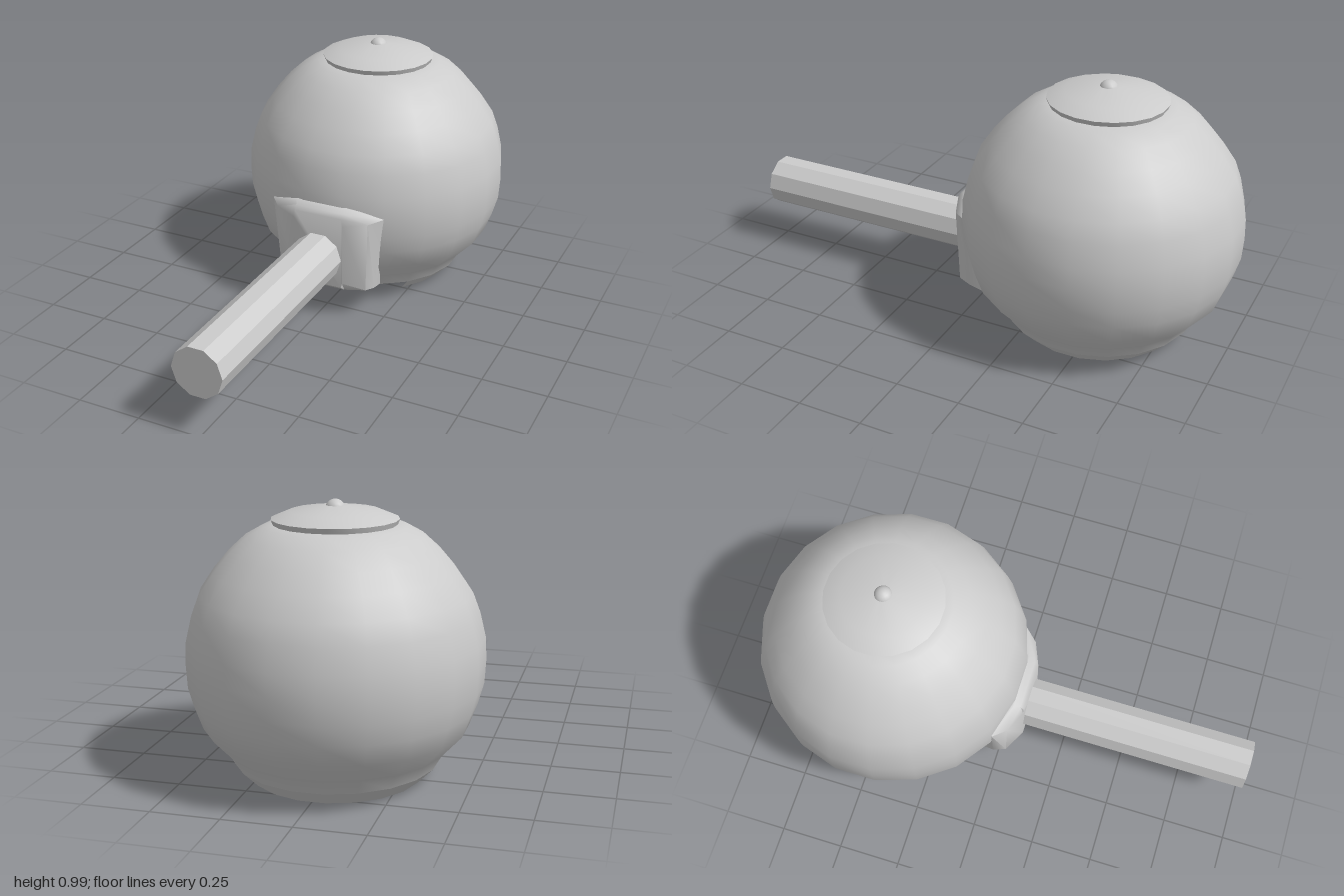
import * as THREE from 'three';
import { toCreasedNormals } from 'three/addons/utils/BufferGeometryUtils.js';

const CENTER_Z = -0.475;
const STEP = Math.PI / 10; // 20 sides around the body

export function createModel() {
  const group = new THREE.Group();
  const grey = new THREE.MeshStandardMaterial({ color: 0xcccccc, side: THREE.DoubleSide });
  const faceted = new THREE.MeshStandardMaterial({ color: 0xcccccc, flatShading: true });

  const add = (name, geometry, material = grey, x = 0, y = 0, z = CENTER_Z) => {
    const mesh = new THREE.Mesh(geometry, material);
    mesh.name = name;
    mesh.position.set(x, y, z);
    group.add(mesh);
    return mesh;
  };
  const lathe = (points, segments = 20, start = STEP / 2) => new THREE.LatheGeometry(
    points.map(([r, y]) => new THREE.Vector2(r, y)), segments, start, segments * STEP);

  // Hollow round body, open underneath
  add('body', lathe([
    [0.37, 0.055], [0.402, 0.11], [0.476, 0.19], [0.505, 0.27], [0.526, 0.345], [0.531, 0.43],
    [0.528, 0.51], [0.507, 0.6], [0.481, 0.67], [0.43, 0.745], [0.375, 0.81], [0.315, 0.865],
    [0.253, 0.9], [0.212, 0.907],
  ]));

  // Bottom band with a five-sided gap at the front
  add('bodySkirt', lathe([[0.315, 0], [0.37, 0.055]], 15, 2.5 * STEP));

  // Shallow lid and its knob
  add('lid', toCreasedNormals(lathe([
    [0.215, 0.9], [0.225, 0.925], [0.16, 0.952], [0.04, 0.97], [0, 0.972],
  ]), 0.7));
  add('lidKnob', new THREE.SphereGeometry(0.036, 16, 10), grey, 0, 0.956);

  // Socket that swells out of the body towards the barrel
  add('barrelSocket', socketGeometry(), grey, 0, 0, 0);

  // Ten-sided barrel
  const barrel = add('barrel', new THREE.CylinderGeometry(0.1, 0.1, 0.95, 10), faceted, 0, 0.26, 0.525);
  barrel.geometry.rotateY(Math.PI / 2);
  barrel.rotation.x = Math.PI / 2;

  return group;
}

// Joins mirrored half loops from the body outwards and caps the front
function socketGeometry() {
  const halves = [
    [[0.1, 0.055, -0.12], [0.168, 0.055, -0.155], [0.235, 0.435, -0.02], [0.1, 0.47, 0.04]],
    [[0.1, 0.1, 0], [0.2, 0.115, -0.01], [0.24, 0.43, 0], [0.11, 0.47, 0.05]],
    [[0.1, 0.115, 0.055], [0.185, 0.125, 0.04], [0.195, 0.42, 0.05], [0.1, 0.458, 0.075]],
    [[0.1, 0.14, 0.088], [0.105, 0.16, 0.088], [0.105, 0.41, 0.088], [0.1, 0.44, 0.088]],
  ];
  const positions = [];
  const indices = [];
  for (const half of halves) {
    const mirrored = half.slice().reverse().map(([x, y, z]) => [-x, y, z]);
    positions.push(...[...half, ...mirrored].flat());
  }
  for (let ring = 0; ring < halves.length - 1; ring++) {
    for (let i = 0; i < 8; i++) {
      const a = ring * 8 + i;
      const b = ring * 8 + (i + 1) % 8;
      indices.push(a, b, b + 8, a, b + 8, a + 8);
    }
  }
  const front = (halves.length - 1) * 8;
  for (let i = 1; i < 7; i++) indices.push(front, front + i, front + i + 1);

  const geometry = new THREE.BufferGeometry();
  geometry.setAttribute('position', new THREE.Float32BufferAttribute(positions, 3));
  geometry.setIndex(indices);
  return toCreasedNormals(geometry, 0.9);
}
